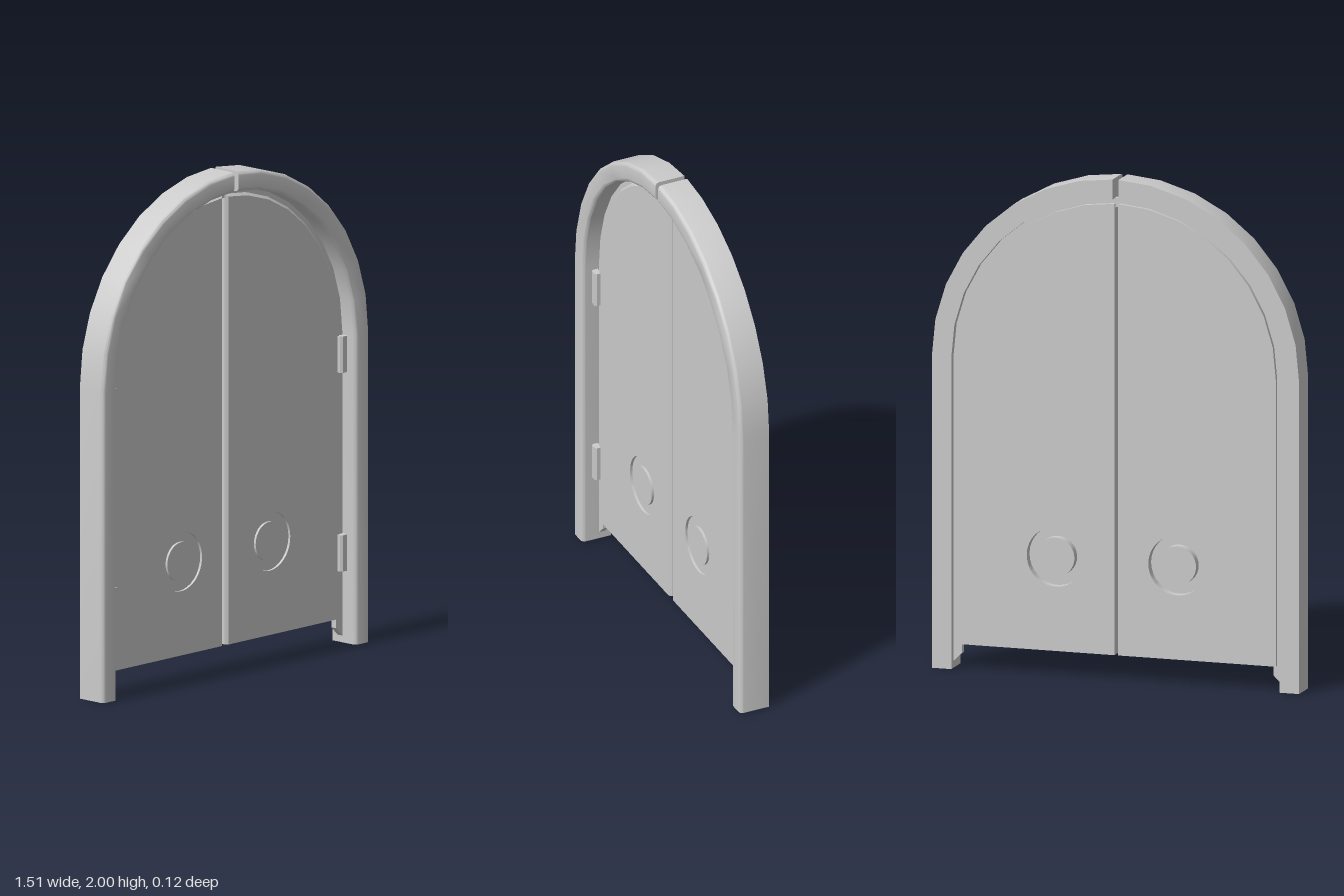
import * as THREE from 'three';
import { toCreasedNormals } from 'three/addons/utils/BufferGeometryUtils.js';

const SPRING = 1.245; // height where the arch begins
const STEPS = 8; // facets per quarter arch
const material = new THREE.MeshStandardMaterial({ color: 0xcccccc });

// Point on half an arch at distance r from its centre; t = 0 is the foot
function archPoint(r, t, footY, minX) {
  if (t === 0) return [r, footY];
  const a = ((t - 1) / STEPS) * Math.PI / 2;
  return [Math.max(r * Math.cos(a), minX), SPRING + r * Math.sin(a)];
}

// Sweeps a convex counter-clockwise [r, z] profile up the jamb and over the arch
function sweepArch(profile, minX, footY) {
  const n = profile.length, rows = STEPS + 2, pos = [], index = [];
  for (let t = 0; t < rows; t++) {
    for (const [r, z] of profile) pos.push(...archPoint(r, t, footY(r), minX), z);
  }
  for (let t = 0; t < rows - 1; t++) {
    for (let j = 0; j < n; j++) {
      const k = (j + 1) % n;
      const a = t * n + j, b = t * n + k, c = b + n, d = a + n;
      index.push(a, d, c, a, c, b);
    }
  }
  const end = (rows - 1) * n;
  for (let j = 1; j < n - 1; j++) {
    index.push(0, j, j + 1, end, end + j + 1, end + j);
  }
  const geo = new THREE.BufferGeometry();
  geo.setAttribute('position', new THREE.Float32BufferAttribute(pos, 3));
  geo.setIndex(index);
  return toCreasedNormals(geo, 0.65);
}

function add(parent, name, geo, x = 0, y = 0, z = 0) {
  const mesh = new THREE.Mesh(geo, material);
  mesh.name = name;
  mesh.position.set(x, y, z);
  parent.add(mesh);
  return mesh;
}

// Frame section: square at the back, rounded front corners
function frameProfile() {
  const inner = 0.675, outer = 0.755, back = -0.065, front = 0.06, rad = 0.016;
  const pts = [[inner, back], [outer, back]];
  for (const [cx, start] of [[outer - rad, 0], [inner + rad, Math.PI / 2]]) {
    for (let i = 0; i <= 4; i++) {
      const a = start + (i / 4) * Math.PI / 2;
      pts.push([cx + rad * Math.cos(a), front - rad + rad * Math.sin(a)]);
    }
  }
  return pts;
}

const PULL = { x: 0.25, y: 0.475, r: 0.118, core: 0.078 };
const DOOR = { r: 0.656, inner: 0.008, bottom: 0.1, back: -0.055, bevel: 0.011 };

// Door leaf with a round opening and a chamfered front edge
function leafGeometry() {
  const pts = [[DOOR.inner, DOOR.bottom]];
  for (let t = 0; t < STEPS + 2; t++) pts.push(archPoint(DOOR.r, t, DOOR.bottom, DOOR.inner));
  const shape = new THREE.Shape(pts.map(([x, y]) => new THREE.Vector2(x, y)));
  const hole = new THREE.Path();
  hole.absarc(PULL.x, PULL.y, PULL.r, 0, Math.PI * 2, true);
  shape.holes.push(hole);
  const geo = new THREE.ExtrudeGeometry(shape, {
    depth: -DOOR.back, steps: 5, bevelEnabled: false, curveSegments: 32,
  });
  geo.translate(0, 0, DOOR.back);
  // Draw the outline of the front layer inward
  const p = geo.attributes.position;
  for (let i = 0; i < p.count; i++) {
    const x = p.getX(i), y = p.getY(i);
    if (p.getZ(i) < -0.001 || Math.hypot(x - PULL.x, y - PULL.y) < PULL.r + 0.005) continue;
    if (x < DOOR.inner + 0.001) {
      p.setX(i, x + DOOR.bevel);
      if (y > SPRING) p.setY(i, y - DOOR.bevel);
    } else {
      const dy = Math.max(y - SPRING, 0), len = Math.hypot(x, dy);
      p.setXY(i, x - (x / len) * DOOR.bevel, y - (dy / len) * DOOR.bevel);
    }
  }
  return toCreasedNormals(geo, 0.5);
}

// Round pull: a core and a thin web that closes the opening
function pullGeometry() {
  const { r, core } = PULL;
  const profile = [[0, DOOR.back], [core, DOOR.back], [core, -0.022], [r, -0.022],
    [r, -0.01], [core, -0.01], [core, 0], [0, 0]];
  const geo = new THREE.LatheGeometry(profile.map(([x, y]) => new THREE.Vector2(x, y)), 32);
  geo.rotateX(Math.PI / 2);
  return toCreasedNormals(geo, 0.6);
}

// Hinge knuckle with chamfered front edges
function hingeGeometry() {
  const w = 0.019, d = 0.028, c = 0.007;
  const shape = new THREE.Shape([[-w, 0], [w, 0], [w, d - c], [w - c, d], [c - w, d], [-w, d - c]]
    .map(([x, y]) => new THREE.Vector2(x, -y)).reverse());
  const geo = new THREE.ExtrudeGeometry(shape, { depth: 0.145, bevelEnabled: false });
  geo.rotateX(-Math.PI / 2);
  return geo;
}

export function createModel() {
  const model = new THREE.Group();
  model.name = 'archedDoubleDoor';

  const frame = sweepArch(frameProfile(), 0.012, () => 0);
  // Door stop inside the frame, cut at a slant at its foot
  const stop = sweepArch(
    [[0.64, -0.038], [0.677, -0.038], [0.677, -0.012], [0.64, -0.012]],
    0, (r) => 0.025 + (0.677 - r));
  const leaf = leafGeometry();
  const pull = pullGeometry();
  const hinge = hingeGeometry();

  for (const side of [1, -1]) {
    const half = new THREE.Group();
    half.name = side > 0 ? 'leftHalf' : 'rightHalf';
    half.scale.x = side;
    add(half, 'frame', frame);
    add(half, 'doorStop', stop);
    add(half, 'doorLeaf', leaf);
    add(half, 'roundPull', pull, PULL.x, PULL.y, 0);
    add(half, 'lowerHinge', hinge, 0.653, 0.293, -0.005);
    add(half, 'upperHinge', hinge, 0.653, 1.087, -0.005);
    model.add(half);
  }
  return model;
}
